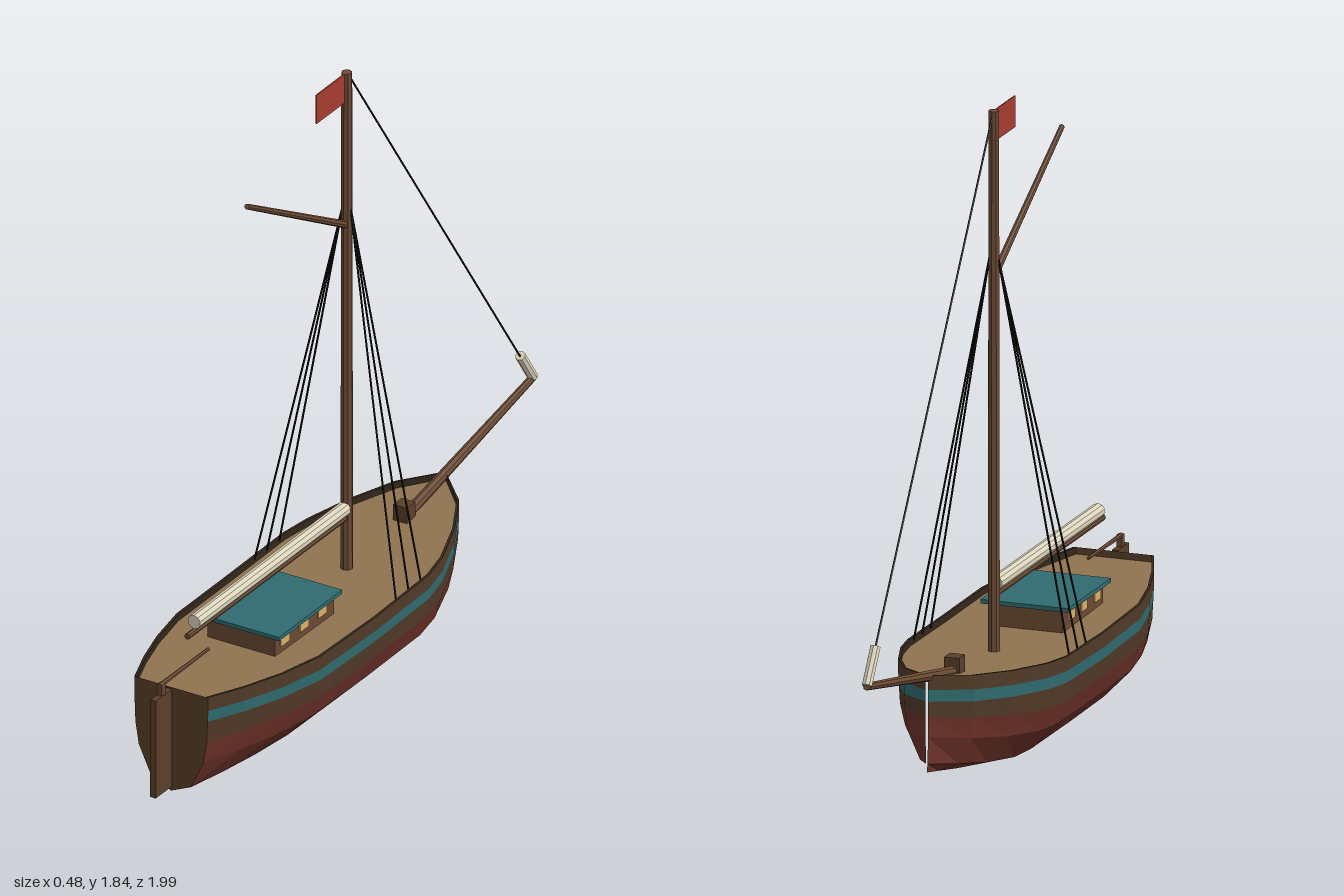
import * as THREE from 'three';

const material = (color, side = THREE.FrontSide) =>
  new THREE.MeshStandardMaterial({ color, side, flatShading: true });
const WOOD = 0x6b4a34, DARK = 0x5a3f29, PLANK = 0x513a28, RED = 0x6e3229,
  TEAL = 0x2f6b70, DECK = 0x8f7350, CREAM = 0xddd5bd, ROPE = 0x15120f;

// Hull stations, stern to bow: z, half width, sheer height, keel height
const STATIONS = [
  [0.905, 0.12, 0.335, 0.01], [0.78, 0.168, 0.327, 0.01], [0.65, 0.207, 0.32, 0.01],
  [0.5, 0.236, 0.315, 0.01], [0.22, 0.24, 0.311, 0.01], [-0.06, 0.238, 0.315, 0.01],
  [-0.16, 0.22, 0.32, 0.012], [-0.3, 0.172, 0.332, 0.032], [-0.43, 0.105, 0.346, 0.06],
  [-0.525, 0.004, 0.36, 0.08],
];

// Section rows as [x, y] for a station
const below = (d, f) => ([, w, s]) => [w * f, s - d];
const part = (t, f) => ([, w, s, k]) => [w * f, k + (s - k) * t];
const inner = (d) => ([, w, s]) => [Math.max(w - 0.008, 0), s - d];
const ROW = {
  sheer: below(0, 1), stripeTop: below(0.042, 1), stripeLow: below(0.076, 0.99),
  water: part(0.57, 0.97), bilge: part(0.36, 0.88), floor: part(0.09, 0.54), keel: part(0, 0),
  capIn: inner(0), deck: inner(0.02), centre: ([, , s]) => [0, s - 0.02],
};

// Lofts a list of rows along all stations, on both sides
function loft(rows) {
  const pos = [];
  for (const side of [1, -1]) {
    const pt = (st, row) => { const [x, y] = row(st); return [x * side, y, st[0]]; };
    for (let i = 0; i < STATIONS.length - 1; i++) {
      for (let j = 0; j < rows.length - 1; j++) {
        const a = pt(STATIONS[i], rows[j]), b = pt(STATIONS[i + 1], rows[j]);
        const c = pt(STATIONS[i], rows[j + 1]), d = pt(STATIONS[i + 1], rows[j + 1]);
        const tris = side > 0 ? [a, c, b, b, c, d] : [a, b, c, b, d, c];
        pos.push(...tris.flat());
      }
    }
  }
  const g = new THREE.BufferGeometry();
  g.setAttribute('position', new THREE.Float32BufferAttribute(pos, 3));
  g.computeVertexNormals();
  return g;
}

export function createModel() {
  const model = new THREE.Group();
  model.name = 'sailingBoat';

  const add = (name, geometry, color, side, parent = model) => {
    const mesh = new THREE.Mesh(geometry, material(color, side));
    mesh.name = name;
    parent.add(mesh);
    return mesh;
  };
  const box = (name, size, at, color, parent) => {
    const mesh = add(name, new THREE.BoxGeometry(...size), color, undefined, parent);
    mesh.position.set(...at);
    return mesh;
  };
  // Round spar or rope between two points
  const spar = (name, from, to, r0, r1, color, sides = 8, parent) => {
    const a = new THREE.Vector3(...from), b = new THREE.Vector3(...to);
    const mesh = add(name, new THREE.CylinderGeometry(r1, r0, a.distanceTo(b), sides), color, undefined, parent);
    mesh.position.copy(a).add(b).multiplyScalar(0.5);
    mesh.quaternion.setFromUnitVectors(new THREE.Vector3(0, 1, 0), b.sub(a).normalize());
    return mesh;
  };

  // Hull in painted bands
  const hull = new THREE.Group();
  hull.name = 'hull';
  model.add(hull);
  const R = ROW;
  add('upperPlanks', loft([R.sheer, R.stripeTop]), PLANK, undefined, hull);
  add('stripe', loft([R.stripeTop, R.stripeLow]), TEAL, undefined, hull);
  add('lowerPlanks', loft([R.stripeLow, R.water]), PLANK, undefined, hull);
  add('bottom', loft([R.water, R.bilge, R.floor, R.keel]), RED, undefined, hull);
  add('bulwarkInside', loft([R.deck, R.capIn, R.sheer]), 0x33271b, undefined, hull);
  add('deck', loft([R.centre, R.deck]), DECK, undefined, hull);

  // Flat transom closing the stern
  const half = [R.sheer, R.stripeTop, R.stripeLow, R.water, R.bilge, R.floor, R.keel].map((f) => f(STATIONS[0]));
  const outline = [...half, ...half.slice(0, -1).reverse().map(([x, y]) => [-x, y])];
  const transom = new THREE.ShapeGeometry(new THREE.Shape(outline.map((p) => new THREE.Vector2(...p))));
  add('transom', transom, DARK, THREE.DoubleSide, hull).position.z = STATIONS[0][0];

  // Rudder and tiller
  box('rudder', [0.018, 0.305, 0.085], [0, 0.183, 0.957], DARK);
  box('rudderHead', [0.016, 0.04, 0.018], [0, 0.35, 0.957], WOOD);
  spar('tiller', [0, 0.366, 0.965], [0, 0.366, 0.71], 0.007, 0.005, WOOD, 6);

  // Cabin with three windows a side
  const cabin = new THREE.Group();
  cabin.name = 'cabin';
  model.add(cabin);
  box('cabinWalls', [0.22, 0.07, 0.31], [0, 0.32, 0.385], WOOD, cabin);
  box('cabinRoof', [0.26, 0.012, 0.33], [0, 0.36, 0.385], TEAL, cabin);
  for (const side of [1, -1]) {
    for (const z of [0.49, 0.39, 0.295]) {
      box('cabinWindow', [0.006, 0.026, 0.045], [side * 0.111, 0.328, z], 0xd9b066, cabin);
    }
  }

  // Mast, flag and spars
  spar('mast', [0, 0.28, -0.012], [0, 1.848, -0.012], 0.018, 0.0155, WOOD);
  box('flag', [0.004, 0.09, 0.15], [0, 1.803, 0.073], 0xa63c30);
  spar('gaff', [0, 1.373, -0.005], [0, 1.663, 0.51], 0.011, 0.008, WOOD);
  spar('boom', [0, 0.455, 0], [0, 0.455, 0.822], 0.01, 0.009, WOOD);
  spar('furledMainsail', [0, 0.484, 0], [0, 0.484, 0.785], 0.021, 0.021, CREAM, 10);

  // Bowsprit with its foot block and furled foresail
  spar('bowsprit', [0, 0.312, -0.3], [0, 0.45, -0.985], 0.017, 0.011, WOOD);
  box('bowspritBlock', [0.045, 0.055, 0.045], [0, 0.332, -0.312], DARK);
  spar('furledForesail', [0, 0.452, -0.983], [0, 0.547, -0.918], 0.015, 0.015, CREAM);

  // Rigging
  spar('forestay', [0, 1.835, -0.022], [0, 0.455, -0.98], 0.003, 0.003, ROPE, 5);
  for (const side of [1, -1]) {
    for (const z of [-0.03, 0.035, 0.1]) {
      spar('shroud', [side * 0.013, 1.425, -0.012], [side * 0.231, 0.305, z], 0.003, 0.003, ROPE, 5);
    }
  }
  return model;
}
